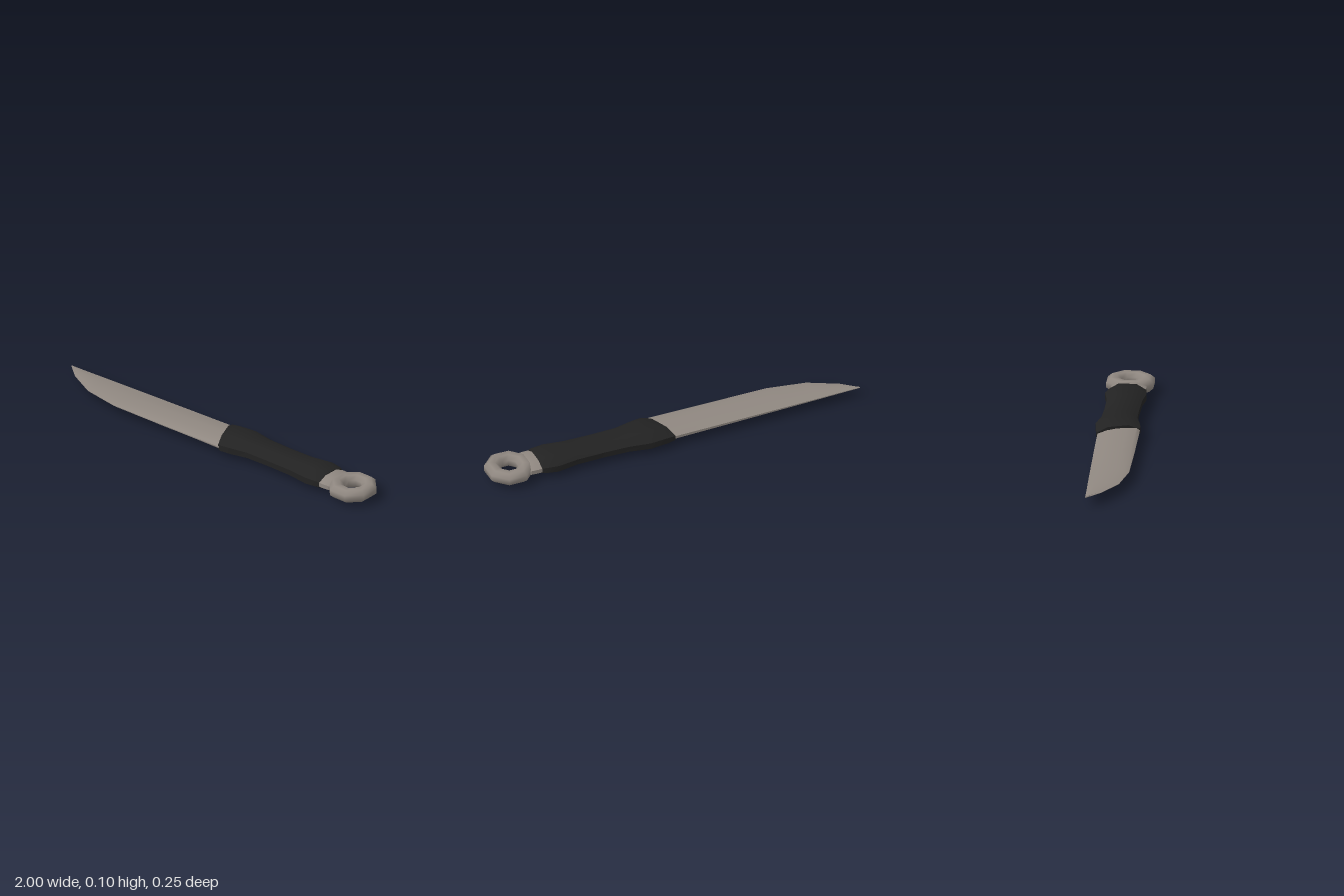
import * as THREE from 'three';
import { toCreasedNormals } from 'three/addons/utils/BufferGeometryUtils.js';

const MID = 0.053; // height of the knife's middle plane

// Skin a list of cross-section rings; either capped at both ends or joined into a loop.
function loft(rings, looped = false, crease = 0.75) {
  const n = rings[0].length, count = rings.length;
  const pos = rings.flat(2), idx = [];
  for (let i = 0; i < (looped ? count : count - 1); i++) {
    const k = (i + 1) % count;
    for (let j = 0; j < n; j++) {
      const m = (j + 1) % n;
      const a = i * n + j, b = i * n + m, c = k * n + j, d = k * n + m;
      idx.push(a, b, c, b, d, c);
    }
  }
  if (!looped) {
    const last = (count - 1) * n;
    for (let j = 1; j < n - 1; j++) {
      idx.push(0, j + 1, j, last, last + j, last + j + 1);
    }
  }
  const g = new THREE.BufferGeometry();
  g.setAttribute('position', new THREE.Float32BufferAttribute(pos, 3));
  g.setIndex(idx);
  return toCreasedNormals(g, crease);
}

// Flattened octagon at x, from z0 to z1 with half height h; slant leans it along x.
function octagon(x, z0, z1, h, slant = 0) {
  const c = (z0 + z1) / 2, w = (z1 - z0) / 2;
  return [[1, -0.47], [1, 0.47], [0.33, 1], [-0.33, 1], [-1, 0.47], [-1, -0.47], [-0.33, -1], [0.33, -1]]
    .map(([y, z]) => [x + slant * z, MID + y * h, c + z * w]);
}

// Blade section: thick middle, narrow flat spine and a bevel down to the edge.
function bladeSection([x, spine, edge, t, bevel]) {
  const w = edge - spine;
  const half = [[0, 0.3], [0.22, 0.8], [0.45, 1], [0.7, 0.9], [bevel, 0.65], [1, 0.12]];
  const top = half.map(([f, y]) => [x, MID + y * t, spine + f * w]);
  const bottom = half.map(([f, y]) => [x, MID - y * t, spine + f * w]).reverse();
  return [...top, ...bottom];
}

export function createModel() {
  const steel = new THREE.MeshStandardMaterial({ color: 0x8f8780 });
  steel.name = 'steel';
  const grip = new THREE.MeshStandardMaterial({ color: 0x222222 });
  grip.name = 'black grip';

  const model = new THREE.Group();
  model.name = 'knife';
  const add = (name, geometry, material) => {
    const mesh = new THREE.Mesh(geometry, material);
    mesh.name = name;
    model.add(mesh);
  };

  // Blade: x, spine z, edge z, half thickness, where the bevel starts
  add('blade', loft([
    [-1, -0.062, -0.056, 0.003, 0.8],
    [-0.92, -0.064, 0.01, 0.006, 0.8],
    [-0.77, -0.07, 0.085, 0.009, 0.82],
    [-0.57, -0.077, 0.118, 0.013, 0.87],
    [-0.25, -0.088, 0.115, 0.019, 0.91],
    [0.14, -0.1, 0.107, 0.026, 0.93],
  ].map(bladeSection), false, 0.6), steel);

  // Handle: slanted front lip, swellings at both ends, slim waist
  add('handle', loft([
    octagon(0.06, -0.1, 0.106, 0.036, 0.042),
    octagon(0.09, -0.108, 0.11, 0.047, 0.03),
    octagon(0.17, -0.118, 0.1, 0.05, 0.01),
    octagon(0.27, -0.1, 0.08, 0.045),
    octagon(0.4, -0.097, 0.077, 0.043),
    octagon(0.55, -0.1, 0.078, 0.044),
    octagon(0.66, -0.118, 0.09, 0.05),
    octagon(0.725, -0.107, 0.083, 0.045),
    octagon(0.742, -0.098, 0.078, 0.037),
  ]), grip);

  // Neck joining the handle to the ring
  add('neck', loft([
    octagon(0.7, -0.095, 0.075, 0.033),
    octagon(0.76, -0.1, 0.078, 0.033),
    octagon(0.8, -0.098, 0.075, 0.032),
    octagon(0.825, -0.07, 0.046, 0.022),
  ]), steel);

  // Eight-sided pommel ring
  const ring = [], corner = Math.cos(Math.PI / 8);
  for (let i = 0; i < 8; i++) {
    const phi = (i + 0.5) * Math.PI / 4, section = [];
    for (let j = 0; j < 8; j++) {
      const a = (j + 0.5) * Math.PI / 4;
      const r = (0.079 + 0.036 * Math.cos(a) / corner) / corner;
      section.push([
        0.885 + r * Math.cos(phi),
        MID + 0.034 * Math.sin(a) / corner,
        -0.012 + 1.02 * r * Math.sin(phi),
      ]);
    }
    ring.push(section);
  }
  add('pommelRing', loft(ring, true, 1.1), steel);

  // Rest the lowest point on the ground
  const box = new THREE.Box3().setFromObject(model);
  model.position.y = -box.min.y;
  return model;
}
